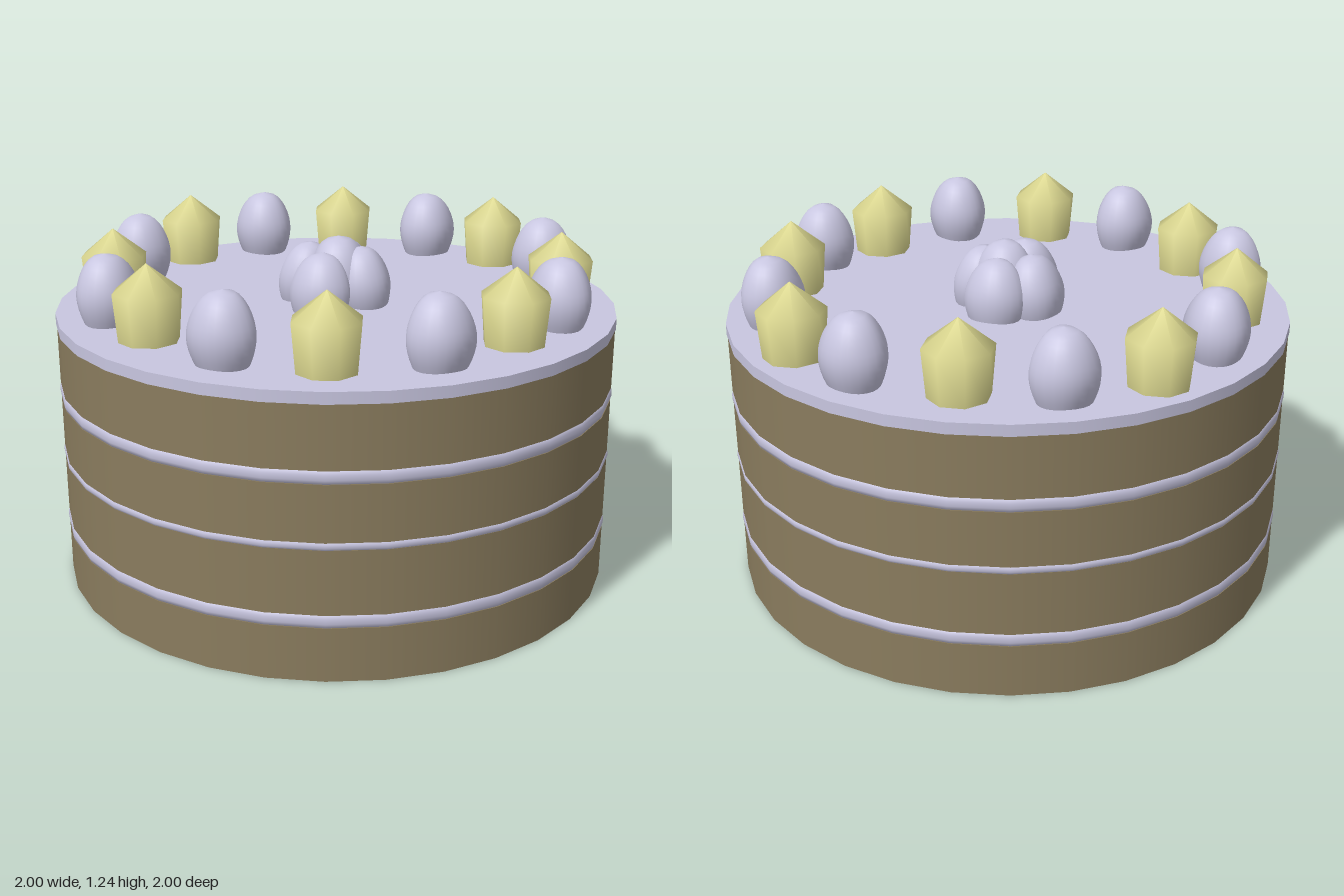
import * as THREE from 'three';

const SIDES = 32;
const TOP = 0.98;

const mat = (color) => new THREE.MeshStandardMaterial({ color });
const sponge = mat(0x8a7c5e);
const cream = mat(0xc8c6e0);
const yellow = mat(0xdcd890);

const lathe = (points, sides) =>
  new THREE.LatheGeometry(points.map(([r, y]) => new THREE.Vector2(r, y)), sides);

function add(parent, name, geometry, material, x = 0, y = 0, z = 0) {
  const mesh = new THREE.Mesh(geometry, material);
  mesh.name = name;
  mesh.position.set(x, y, z);
  parent.add(mesh);
  return mesh;
}

// Fruit: an egg with a softly three-cornered section, its corner facing +z
function fruitGeometry() {
  const profile = new THREE.SplineCurve([
    [0.08, -0.02], [0.1, 0.03], [0.11, 0.08], [0.105, 0.13],
    [0.083, 0.185], [0.048, 0.225], [0, 0.24],
  ].map(([r, y]) => new THREE.Vector2(r, y))).getPoints(14);
  profile[profile.length - 1].x = 0;
  const geo = new THREE.LatheGeometry(profile, 24);
  const p = geo.attributes.position;
  for (let i = 0; i < p.count; i++) {
    const x = p.getX(i), z = p.getZ(i);
    const k = 1 + 0.07 * Math.cos(3 * Math.atan2(x, z));
    p.setXYZ(i, x * k, p.getY(i), z * k);
  }
  // analytic lathe normals stay seamless and are close enough for a slight swell
  return geo;
}

export function createModel() {
  const cake = new THREE.Group();
  cake.name = 'layerCake';

  // Sponge layers, [bottom, top]
  for (const [a, b] of [[0, 0.19], [0.235, 0.46], [0.485, 0.68], [0.725, 0.945]]) {
    add(cake, 'spongeLayer', new THREE.CylinderGeometry(0.997, 0.997, b - a, SIDES),
      sponge, 0, (a + b) / 2, 0);
  }

  // Cream fillings with gently rounded rims
  for (const [a, b] of [[0.185, 0.243], [0.455, 0.492], [0.675, 0.732]]) {
    const h = b - a;
    add(cake, 'creamFilling', lathe([
      [0.98, a], [0.995, a + h * 0.1], [1, a + h * 0.35],
      [1, a + h * 0.65], [0.995, b - h * 0.1], [0.98, b],
    ], SIDES), cream);
  }

  // Icing on top
  add(cake, 'topIcing', new THREE.CylinderGeometry(1, 1, 0.04, SIDES),
    cream, 0, TOP - 0.02, 0);

  // Pointed piped dollops around the edge
  const dollop = lathe([[0, -0.01], [0.1, -0.01], [0.104, 0], [0.118, 0.165], [0, 0.26]], 8);
  const dollops = new THREE.Group();
  dollops.name = 'dollops';
  cake.add(dollops);
  for (const [x, z] of [[0, -0.805], [0, 0.8], [-0.8, 0], [0.8, 0],
    [-0.6, -0.605], [0.6, -0.605], [-0.6, 0.5], [0.6, 0.5]]) {
    add(dollops, 'dollop', dollop, yellow, x, TOP, z).rotation.y = Math.PI / 8;
  }

  // Fruit between the dollops, each corner turned towards the middle
  const fruit = fruitGeometry();
  const ring = new THREE.Group();
  ring.name = 'fruitRing';
  cake.add(ring);
  for (const [x, z] of [[-0.32, -0.77], [0.34, -0.77], [-0.76, -0.345], [0.77, -0.33],
    [-0.775, 0.29], [0.77, 0.29], [-0.325, 0.735], [0.345, 0.735]]) {
    add(ring, 'fruit', fruit, cream, x, TOP, z).rotation.y = Math.atan2(-x, -z);
  }

  // Cluster in the middle: four leaning inwards around an upright one
  const cluster = new THREE.Group();
  cluster.name = 'fruitCluster';
  cake.add(cluster);
  add(cluster, 'middleFruit', fruit, cream, 0.01, TOP, 0);
  for (const [x, z] of [[0.02, -0.13], [-0.115, -0.06], [0.11, 0.025], [-0.05, 0.14]]) {
    const piece = add(cluster, 'outerFruit', fruit, cream, x, TOP - 0.02, z);
    piece.rotation.order = 'YXZ';
    piece.rotation.set(0.12, Math.atan2(-x, -z), 0);
    piece.scale.set(0.97, 0.95, 0.9);
  }

  return cake;
}
